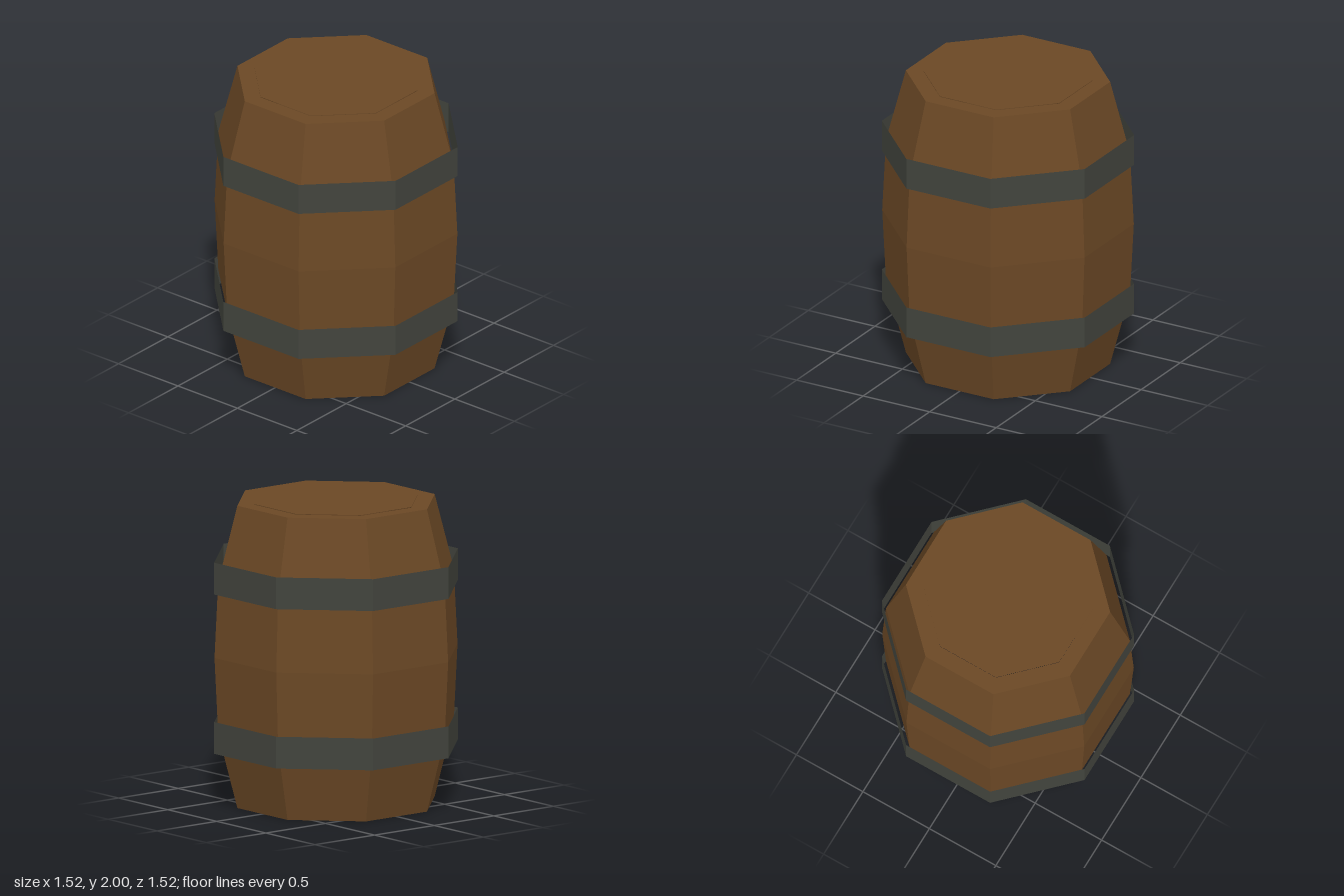
import * as THREE from 'three';

const SIDES = 8;
const TURN = Math.PI / SIDES; // puts a flat side at the front
const corner = (flat) => flat / Math.cos(TURN); // flat-side distance to corner radius

export function createModel() {
  const group = new THREE.Group();
  const material = (name, color) => {
    const m = new THREE.MeshStandardMaterial({ color, flatShading: true, side: THREE.DoubleSide });
    m.name = name;
    return m;
  };
  const wood = material('brown wood', 0x6b4825);
  const iron = material('dark iron', 0x42443d);

  const add = (name, geometry, mat, y = 0) => {
    const mesh = new THREE.Mesh(geometry, mat);
    mesh.name = name;
    mesh.position.y = y;
    group.add(mesh);
    return mesh;
  };

  // Staves: bulging eight-sided shell, open underneath
  const profile = [[0.617, 0], [0.737, 0.5], [0.76, 1], [0.737, 1.5], [0.617, 1.996]]
    .map(([flat, y]) => new THREE.Vector2(corner(flat), y));
  add('staves', new THREE.LatheGeometry(profile, SIDES, TURN), wood);

  // Top rim and the lid panel set into it
  const rim = new THREE.RingGeometry(corner(0.51), corner(0.617), SIDES, 1, TURN).rotateX(-Math.PI / 2);
  add('topRim', rim, wood, 1.996);
  const lid = new THREE.CircleGeometry(corner(0.51), SIDES, TURN).rotateX(-Math.PI / 2);
  add('lid', lid, wood, 2);

  // Hoops: thin straight bands standing off the staves
  for (const [name, y] of [['lowerHoop', 0.472], ['upperHoop', 1.524]]) {
    const r = corner(0.762);
    add(name, new THREE.CylinderGeometry(r, r, 0.21, SIDES, 1, true, TURN), iron, y);
  }
  return group;
}
